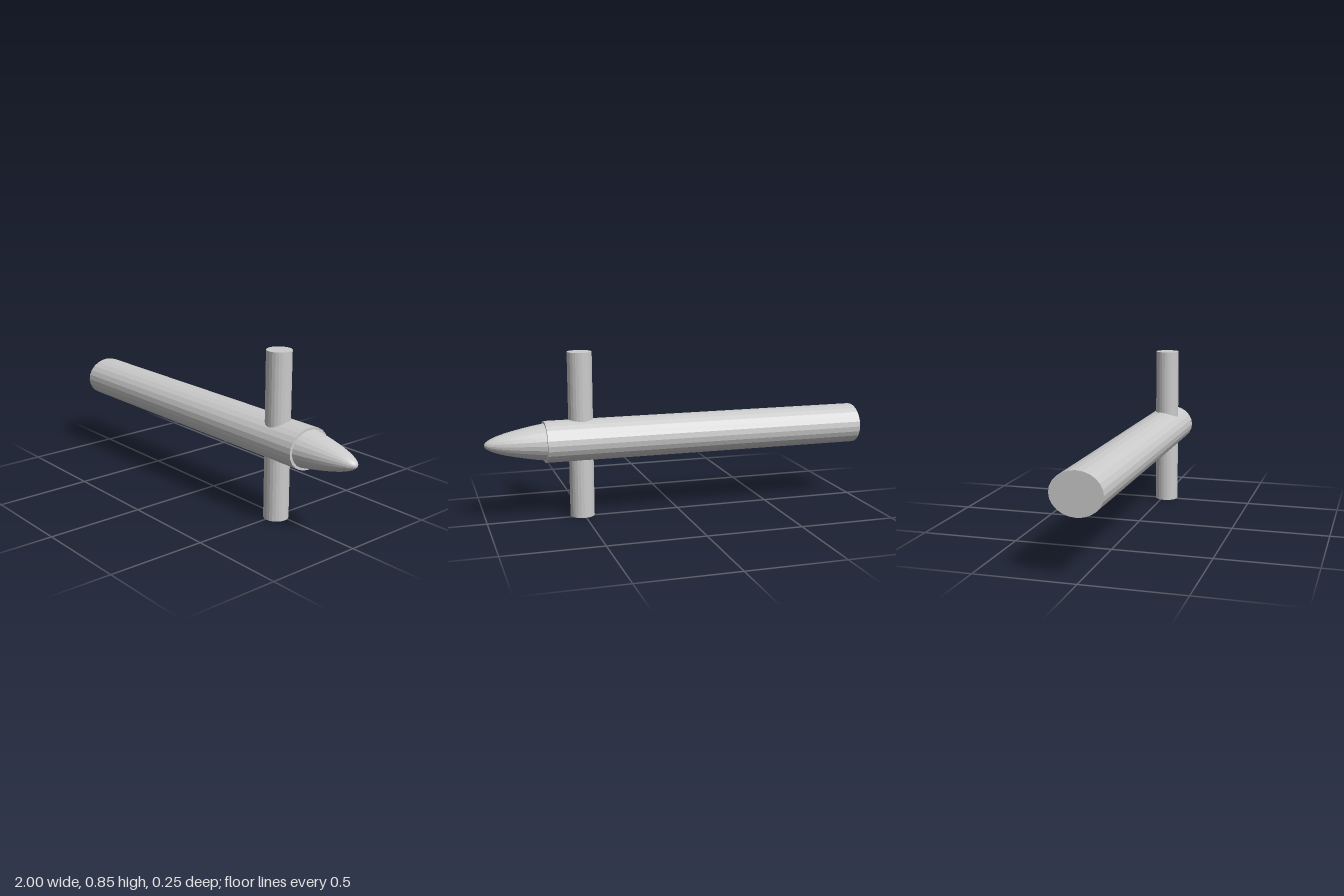
import * as THREE from 'three';

const SIDES = 24;
const AXIS_Y = 0.405;   // height of the long axis
const RY = 0.105, RZ = 0.126; // elliptical section of the body

export function createModel() {
  const group = new THREE.Group();
  const material = new THREE.MeshStandardMaterial({ color: 0xcccccc, flatShading: true });

  const add = (name, geometry, x, y, z) => {
    const mesh = new THREE.Mesh(geometry, material);
    mesh.name = name;
    mesh.position.set(x, y, z);
    group.add(mesh);
  };

  // Turn a y-axis solid of unit radius to point along +x with an elliptical section
  const alongX = (geometry) => geometry.rotateZ(-Math.PI / 2).scale(1, RY, RZ);

  // Long body
  add('body', alongX(new THREE.CylinderGeometry(1, 1, 1.7, SIDES)), -0.15, AXIS_Y, 0);

  // Parabolic nose, its wide base seated inside the body end
  const length = 0.38, steps = 20;
  const profile = [new THREE.Vector2(0, 0)];
  for (let i = 0; i <= steps; i++) {
    const r = 1 - i / steps;
    profile.push(new THREE.Vector2(r * 0.998, length * (1 - r * r)));
  }
  add('nose', alongX(new THREE.LatheGeometry(profile, SIDES)), 0.62, AXIS_Y, 0);

  // Upright crossbar passing through the body, slightly toward the front
  add('crossbar', new THREE.CylinderGeometry(0.063, 0.063, 0.853, SIDES), 0.508, 0.4265, 0.022);

  return group;
}
